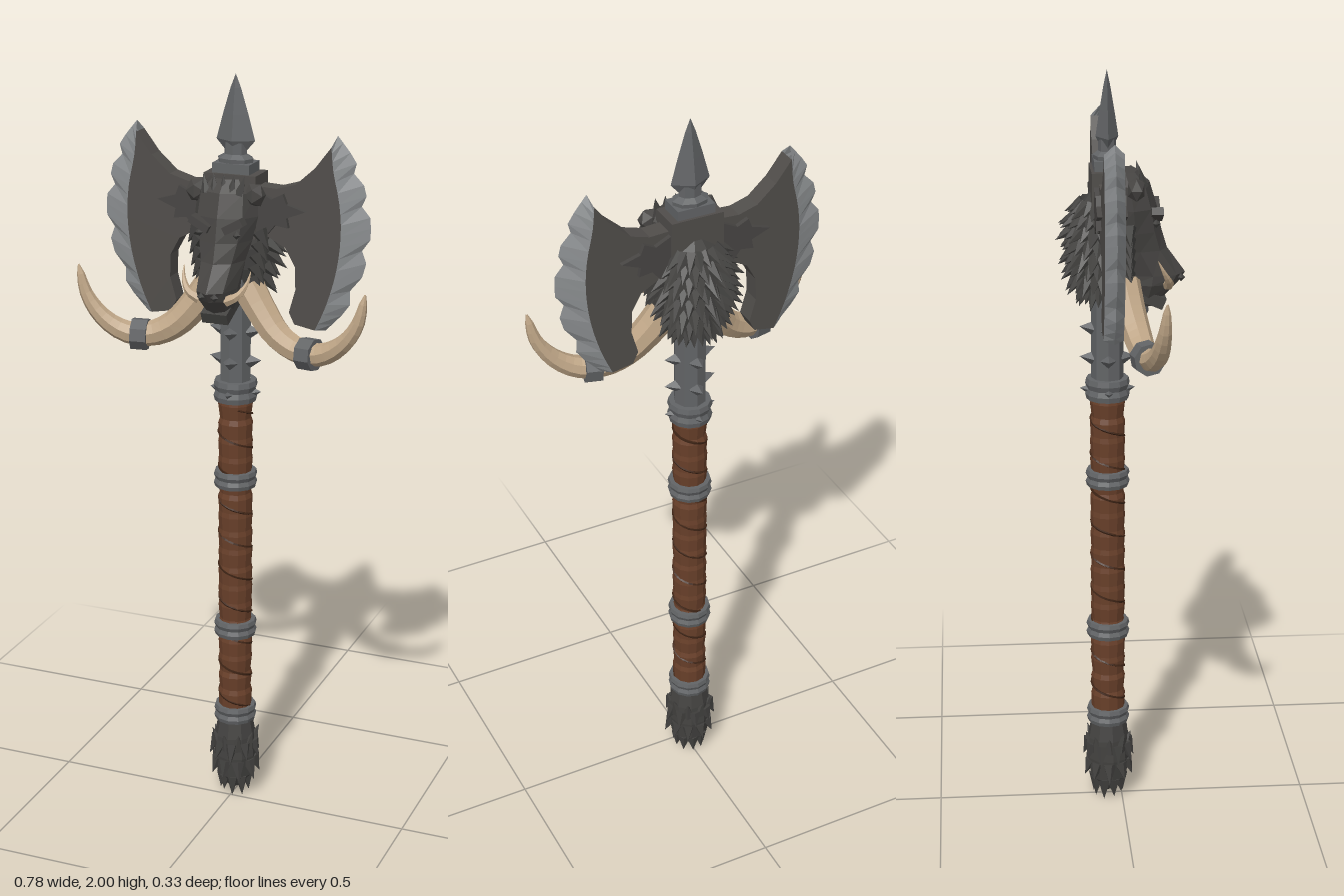
import * as THREE from 'three';
import { mergeGeometries } from 'three/addons/utils/BufferGeometryUtils.js';

const material = (name, color, side = THREE.FrontSide) => {
  const m = new THREE.MeshStandardMaterial({ color, side, flatShading: true });
  m.name = name;
  return m;
};
const V = (x, y, z) => new THREE.Vector3(x, y, z);
const UP = V(0, 1, 0);

// Cone standing on a point and aimed along a direction
function spike(base, dir, length, radius, sides = 5) {
  const g = new THREE.ConeGeometry(radius, length, sides);
  g.translate(0, length / 2, 0);
  g.applyQuaternion(new THREE.Quaternion().setFromUnitVectors(UP, dir.clone().normalize()));
  return g.translate(base.x, base.y, base.z);
}

// Closed loft; each section is [y, halfWidth, backZ, frontZ], top to bottom
function loft(sections, sides) {
  const n = sections.length - 1;
  const g = new THREE.CylinderGeometry(1, 1, 1, sides, n);
  const p = g.attributes.position;
  for (let i = 0; i < p.count; i++) {
    const [y, w, back, front] = sections[Math.round((0.5 - p.getY(i)) * n)];
    p.setXYZ(i, p.getX(i) * w, y, (back + front) / 2 + p.getZ(i) * (front - back) / 2);
  }
  g.computeVertexNormals();
  return g;
}

// Tube whose radius follows a rule along its length
function taperedTube(points, radiusAt, segments = 20, sides = 8) {
  const curve = new THREE.CatmullRomCurve3(points);
  const g = new THREE.TubeGeometry(curve, segments, 1, sides);
  const p = g.attributes.position, v = V(0, 0, 0);
  for (let i = 0; i < p.count; i++) {
    const t = Math.floor(i / (sides + 1)) / segments, c = curve.getPointAt(t);
    v.fromBufferAttribute(p, i).sub(c).multiplyScalar(radiusAt(t)).add(c);
    p.setXYZ(i, v.x, v.y, v.z);
  }
  g.computeVertexNormals();
  return g;
}

const lathe = (pts, sides) => new THREE.LatheGeometry(pts.map(([r, y]) => new THREE.Vector2(r, y)), sides);
const vec2s = (pts) => pts.map(([x, y]) => new THREE.Vector2(x, y));

export function createModel() {
  const dark = material('dark steel', 0x504d4a);
  const edge = material('honed steel', 0x8b8e90, THREE.DoubleSide);
  const iron = material('iron', 0x626466);
  const hide = material('beast iron', 0x474543);
  const fur = material('fur', 0x444341);
  const leather = material('leather', 0x69402a);
  const seam = material('leather seam', 0x3f2516);
  const bone = material('bone', 0xbfa687);

  const model = new THREE.Group();
  const axe = new THREE.Group();
  axe.name = 'axe';
  axe.position.z = -0.037;
  const beast = new THREE.Group();
  beast.name = 'beastHead';
  model.add(axe, beast);
  const add = (parent, name, geometry, mat) => {
    const m = new THREE.Mesh(geometry, mat);
    m.name = name;
    parent.add(m);
    return m;
  };
  let seed = 7;
  const rand = () => (seed = (seed * 16807) % 2147483647) / 2147483647;

  // Grip: wrapped leather with uneven layers and a spiral seam
  const grip = [];
  for (let i = 0; i <= 18; i++) {
    const y = 0.22 + i * 0.052;
    grip.push([0.041 + rand() * 0.004, y], [0.046, y + 0.038]);
  }
  add(axe, 'grip', lathe(grip, 12), leather);
  const spiral = [];
  for (let i = 0; i <= 72; i++) {
    const a = i * 0.8;
    spiral.push(V(Math.cos(a) * 0.044, 0.27 + i * 0.012, Math.sin(a) * 0.044));
  }
  add(axe, 'gripSeam', new THREE.TubeGeometry(new THREE.CatmullRomCurve3(spiral), 220, 0.0035, 4), seam);

  // Collars
  for (const y of [0.25, 0.505, 0.935, 1.18]) {
    const h = y > 1 ? 0.028 : 0.022;
    add(axe, 'collar', lathe([[0.04, y - h], [0.055, y - h], [0.058, y - h / 2], [0.053, y],
      [0.058, y + h / 2], [0.055, y + h], [0.04, y + h]], 12), iron);
  }

  // Upper shaft with studs
  add(axe, 'upperShaft', new THREE.CylinderGeometry(0.042, 0.042, 0.6, 8).translate(0, 1.45, 0), iron);
  const studs = [];
  for (const y of [1.175, 1.26, 1.34])
    for (let k = 0; k < 4; k++) {
      const d = V(Math.cos(k * Math.PI / 2), 0.15, Math.sin(k * Math.PI / 2));
      studs.push(spike(V(d.x * 0.036, y, d.z * 0.036), d, 0.036, 0.02, 4));
    }
  add(axe, 'studs', mergeGeometries(studs), iron);

  // Pommel with layered tufts
  add(axe, 'pommel', lathe([[0, 0.01], [0.025, 0.025], [0.05, 0.06], [0.058, 0.12], [0.056, 0.18], [0.046, 0.235]], 9), fur);
  const pommelTufts = [];
  for (let row = 0; row < 4; row++)
    for (let k = 0; k < 9; k++) {
      const a = (k + row / 2) * Math.PI * 2 / 9, c = Math.cos(a), s = Math.sin(a);
      const r = [0.035, 0.048, 0.05, 0.044][row];
      const d = row === 0 ? V(c * 0.1, -1, s * 0.1) : V(c * 0.4, row === 3 ? 1 : -1, s * 0.4);
      pommelTufts.push(spike(V(c * r, [0.06, 0.11, 0.165, 0.15][row], s * r), d, 0.045 + rand() * 0.015, 0.019));
    }
  add(axe, 'pommelTufts', mergeGeometries(pommelTufts), fur);

  // Twin blades: flat body plus a nicked wedge edge
  const steps = 18;
  const inner = new THREE.SplineCurve(vec2s([[0.262, 1.84], [0.268, 1.78], [0.285, 1.7], [0.29, 1.62],
    [0.28, 1.53], [0.255, 1.44], [0.225, 1.37]])).getPoints(steps);
  const outer = new THREE.SplineCurve(vec2s([[0.27, 1.865], [0.32, 1.8], [0.347, 1.72], [0.36, 1.64],
    [0.35, 1.55], [0.31, 1.44], [0.245, 1.365]])).getPoints(steps);
  [4, 7, 11, 14].forEach((i) => { outer[i].x -= 0.018; });
  const bodyShape = new THREE.Shape([...inner, ...vec2s([[0.17, 1.38], [0.155, 1.41], [0.172, 1.47],
    [0.17, 1.53], [0.145, 1.575], [0.1, 1.6], [0.03, 1.6], [0.03, 1.73], [0.12, 1.725], [0.17, 1.74], [0.22, 1.785]])]);
  const bodyGeo = new THREE.ExtrudeGeometry(bodyShape, { depth: 0.05, bevelEnabled: false }).translate(0, 0, -0.025);
  const wedge = [];
  for (let i = 0; i < steps; i++)
    for (const z of [0.025, -0.025]) {
      const a = [inner[i].x, inner[i].y, z], b = [inner[i + 1].x, inner[i + 1].y, z];
      const c = [outer[i].x, outer[i].y, 0], d = [outer[i + 1].x, outer[i + 1].y, 0];
      if (z > 0) wedge.push(...a, ...b, ...c, ...c, ...b, ...d);
      else wedge.push(...a, ...c, ...b, ...c, ...d, ...b);
    }
  const edgeGeo = new THREE.BufferGeometry();
  edgeGeo.setAttribute('position', new THREE.Float32BufferAttribute(wedge, 3));
  edgeGeo.computeVertexNormals();
  // Spiked bracket clamping each blade
  const bracket = new THREE.Shape(vec2s([[0.05, 1.6], [0.1, 1.61], [0.12, 1.635], [0.155, 1.63], [0.15, 1.655],
    [0.2, 1.675], [0.15, 1.69], [0.14, 1.715], [0.11, 1.7], [0.05, 1.73]]));
  const bracketGeo = new THREE.ExtrudeGeometry(bracket, { depth: 0.075, bevelEnabled: false }).translate(0, 0, -0.0375);
  for (const turn of [0, Math.PI]) {
    const blade = new THREE.Group();
    blade.name = turn ? 'rightBlade' : 'leftBlade';
    blade.rotation.y = turn;
    add(blade, 'bladeBody', bodyGeo, dark);
    add(blade, 'bladeEdge', edgeGeo, edge);
    add(blade, 'bladeBracket', bracketGeo, hide);
    axe.add(blade);
  }

  // Socket and top spearhead
  add(axe, 'socket', new THREE.BoxGeometry(0.14, 0.16, 0.085).translate(0, 1.675, 0), dark);
  add(axe, 'socketCap', new THREE.BoxGeometry(0.1, 0.03, 0.07).translate(0, 1.765, 0), iron);
  add(axe, 'spearNeck', lathe([[0.045, 1.77], [0.048, 1.79], [0.03, 1.8], [0.03, 1.83]], 8).scale(1, 1, 0.75), iron);
  add(axe, 'spearhead', lathe([[0, 1.805], [0.03, 1.81], [0.052, 1.835], [0.034, 1.9], [0.014, 1.965], [0, 2]], 4)
    .rotateY(Math.PI / 2).scale(1, 1, 0.55), iron);

  // Beast skull and snout
  add(beast, 'skull', loft([[1.75, 0.05, -0.03, 0.04], [1.72, 0.08, -0.04, 0.07], [1.66, 0.085, -0.04, 0.088],
    [1.6, 0.072, -0.04, 0.1], [1.55, 0.058, -0.03, 0.115], [1.485, 0.05, -0.01, 0.162],
    [1.46, 0.05, 0.0, 0.145], [1.425, 0.035, 0.02, 0.11], [1.4, 0.02, 0.04, 0.09]], 8), hide);
  add(beast, 'jaw', new THREE.BoxGeometry(0.07, 0.03, 0.09).rotateX(0.4).translate(0, 1.425, 0.065), fur);

  for (const s of [1, -1]) {
    const side = s > 0 ? 'left' : 'right';
    // Ear, brow and cheek
    add(beast, side + 'Ear', new THREE.IcosahedronGeometry(0.029, 0).scale(1, 1.1, 0.85).translate(s * 0.078, 1.715, 0.03), hide);
    add(beast, side + 'Brow', new THREE.BoxGeometry(0.055, 0.02, 0.03).rotateZ(s * 0.5).translate(s * 0.045, 1.645, 0.085), hide);
    add(beast, side + 'Eye', new THREE.OctahedronGeometry(0.011).translate(s * 0.05, 1.622, 0.083), fur);
    add(beast, side + 'Nostril', new THREE.OctahedronGeometry(0.011).translate(s * 0.018, 1.475, 0.15), fur);
    // Small lip tusk
    add(beast, side + 'LipTusk', taperedTube([V(s * 0.035, 1.46, 0.115), V(s * 0.065, 1.475, 0.115),
      V(s * 0.085, 1.505, 0.1), V(s * 0.09, 1.535, 0.085)], (t) => 0.014 * (1 - t) + 0.001, 8, 6), bone);
    // Great curved tusk with its band
    const path = [[0.05, 1.47, 0.0], [0.09, 1.415, 0.012], [0.14, 1.36, 0.028], [0.2, 1.33, 0.04],
      [0.265, 1.33, 0.055], [0.325, 1.365, 0.068], [0.368, 1.425, 0.076], [0.388, 1.505, 0.08]]
      .map(([x, y, z]) => V(s * x, y, z));
    add(beast, side + 'Tusk', taperedTube(path, (t) => 0.042 * Math.pow(1 - t, 0.55) + 0.002), bone);
    const band = add(beast, side + 'TuskBand', new THREE.CylinderGeometry(0.042, 0.042, 0.042, 8), iron);
    band.position.set(s * 0.232, 1.326, 0.047);
    band.quaternion.setFromUnitVectors(UP, V(s, 0.03, 0.22).normalize());
  }

  // Shaggy mane: bulk, then tufts around the back and sides
  add(beast, 'maneBulk', new THREE.SphereGeometry(1, 10, 8).scale(0.085, 0.14, 0.07).translate(0, 1.565, -0.055), fur);
  const tufts = [];
  for (let row = 0; row < 8; row++)
    for (let k = 0; k < 11; k++) {
      const a = Math.PI * (k + (row % 2) / 2) / 10.5, v = -0.8 + row * 0.22;
      const w = Math.sqrt(1 - v * v);
      const n = V(Math.cos(a) * w, v, -Math.sin(a) * w);
      tufts.push(spike(V(n.x * 0.08, 1.565 + v * 0.135, -0.055 + n.z * 0.065),
        V(n.x, n.y * 0.5 - 0.7, n.z), 0.042 + rand() * 0.022, 0.02));
    }
  // Crest and beard tufts beside the face
  for (const s of [1, -1])
    for (let k = 0; k < 6; k++)
      tufts.push(spike(V(s * (0.082 - k * 0.004), 1.62 - k * 0.03, 0.01), V(s * 0.6, -1, 0.1), 0.055, 0.022));
  for (let k = -2; k <= 2; k++)
    tufts.push(spike(V(k * 0.022, 1.715, 0.05), V(k * 0.12, 1, -0.2), 0.05, 0.014));
  add(beast, 'maneTufts', mergeGeometries(tufts), fur);

  return model;
}
